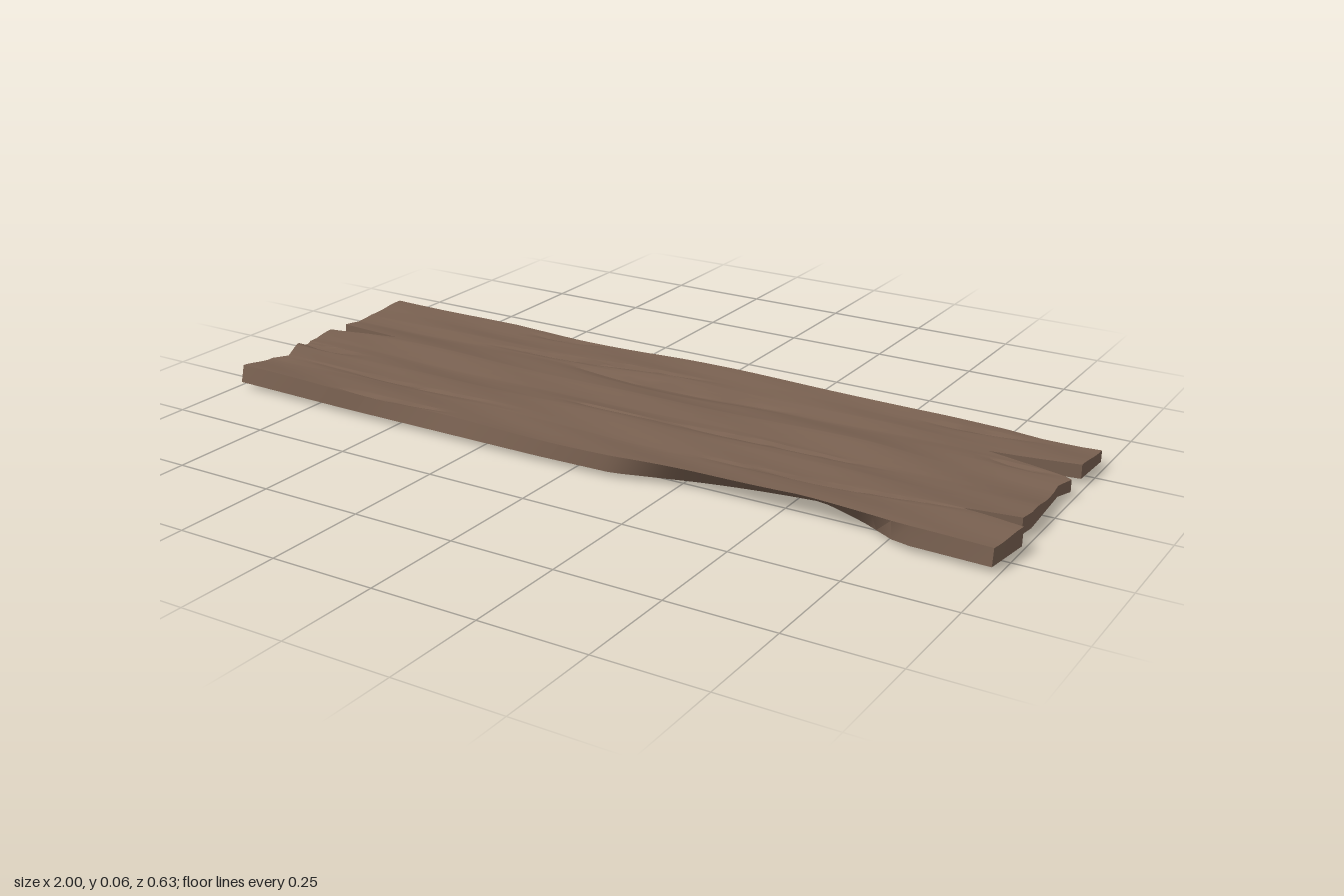
import * as THREE from 'three';
import { toCreasedNormals } from 'three/addons/utils/BufferGeometryUtils.js';

const { lerp, clamp } = THREE.MathUtils;

// Piecewise linear curve through [position, value] points
function curve(points, p) {
  if (p <= points[0][0]) return points[0][1];
  for (let k = 1; k < points.length; k++) {
    const [a, va] = points[k - 1], [b, vb] = points[k];
    if (p <= b) return lerp(va, vb, (p - a) / (b - a));
  }
  return points[points.length - 1][1];
}

// Split, broken ends: x by z
const leftEnd = [[-0.31, -0.99], [-0.1, -1], [-0.067, -0.8], [-0.03, -0.99], [0.06, -0.985],
  [0.08, -1], [0.17, -0.96], [0.2, -0.99], [0.31, -0.99]];
const rightEnd = [[-0.31, 0.99], [-0.2, 0.985], [-0.17, 0.78], [-0.13, 0.97], [-0.12, 0.99],
  [-0.08, 0.975], [0.1, 0.985], [0.14, 0.98], [0.165, 0.86], [0.19, 1], [0.31, 0.985]];

// Worn long edges: z by x
const backEdge = [[-1, -0.315], [-0.6, -0.32], [-0.4, -0.31], [-0.1, -0.315], [0.55, -0.303],
  [0.78, -0.318], [0.84, -0.31], [1, -0.317]];
const frontTop = [[-1, 0.295], [-0.65, 0.308], [-0.35, 0.3], [-0.1, 0.306], [0.1, 0.306],
  [0.3, 0.29], [0.55, 0.28], [0.78, 0.305], [1, 0.308]];
const frontBottom = [[-1, 0.306], [-0.65, 0.314], [-0.1, 0.314], [0.1, 0.308], [0.3, 0.25],
  [0.55, 0.18], [0.78, 0.308], [1, 0.314]];

// Surface relief: height by z along the middle, and by z at the right end
const middleRelief = [[-0.31, 0.054], [-0.25, 0.05], [-0.2, 0.051], [-0.15, 0.043], [-0.05, 0.055],
  [0.03, 0.045], [0.1, 0.052], [0.2, 0.046], [0.31, 0.053]];
const endRelief = [[-0.31, 0.042], [-0.19, 0.042], [-0.12, 0.041], [-0.05, 0.036], [0.05, 0.046],
  [0.15, 0.05], [0.31, 0.055]];

// Grain cracks: start x, z, end x, z, width, depth
const cracks = [
  [-0.6, -0.165, 0.08, -0.225, 0.014, 0.011], [-0.32, -0.148, 0.33, -0.166, 0.03, 0.014],
  [-1.05, 0.062, -0.8, 0.072, 0.02, 0.014], [0.05, 0.068, 0.65, 0.035, 0.016, 0.009],
  [-0.95, 0.165, -0.2, 0.18, 0.014, 0.007], [0.2, 0.19, 0.9, 0.165, 0.013, 0.009],
  [-0.7, 0.295, -0.35, 0.28, 0.012, 0.009], [0.57, -0.262, 0.87, -0.292, 0.016, 0.01],
  [-0.55, -0.285, -0.3, -0.308, 0.014, 0.009], [0.79, -0.13, 0.95, -0.128, 0.014, 0.01],
  [-0.2, 0.07, 0.1, 0.064, 0.01, 0.006],
];

function topHeight(x, z) {
  let y = lerp(curve(middleRelief, z), curve(endRelief, z), clamp((x - 0.55) / 0.4, 0, 1));
  y += 0.003 * Math.sin(x * 5 + z * 18) + 0.0015 * Math.sin(x * 11 - z * 45);
  for (const [x0, z0, x1, z1, width, depth] of cracks) {
    const t = (x - x0) / (x1 - x0);
    if (t <= 0 || t >= 1) continue;
    const fade = Math.sin(Math.PI * t);
    // One steep wall, one long slope
    const d = (z - lerp(z0, z1, t)) / (width * (0.5 + 0.5 * fade));
    if (d > -0.35 && d < 1.6) y -= depth * fade * (d < 0 ? 1 + d / 0.35 : 1 - d / 1.6);
  }
  return y;
}

function bottomHeight(x, z) {
  // Hollowed, sagging underside near the front edge
  const dip = Math.max(0, 1 - Math.abs(x - 0.55) / 0.35) * Math.max(0, 1 - Math.abs(z - 0.18) / 0.08);
  return 0.013 * (1 - dip);
}

function plankGeometry() {
  // Rows run along the grain and include every corner of the broken ends
  const rows = [...leftEnd, ...rightEnd].map((p) => p[0]);
  for (let k = 0; k <= 100; k++) {
    const v = -0.31 + 0.0062 * k;
    if (!rows.some((r) => Math.abs(r - v) < 0.0015)) rows.push(v);
  }
  const zs = [...new Set(rows)].sort((a, b) => a - b);
  const nz = zs.length, inner = 48, outer = 6, nx = inner + 2 * outer + 1;
  const positions = [], index = [];

  const gridX = (i, v) => {
    if (i < outer) return lerp(curve(leftEnd, v), -0.72, i / outer);
    if (i > outer + inner) return lerp(0.72, curve(rightEnd, v), (i - outer - inner) / outer);
    return -0.72 + (1.44 * (i - outer)) / inner;
  };
  const gridZ = (x, v, front) => {
    if (v > 0.1) return 0.1 + ((v - 0.1) * (curve(front, x) - 0.1)) / 0.21;
    if (v < -0.2) return -0.2 + ((v + 0.2) * (curve(backEdge, x) + 0.2)) / -0.11;
    return v;
  };
  for (const [front, height] of [[frontTop, topHeight], [frontBottom, bottomHeight]]) {
    for (const v of zs) {
      for (let i = 0; i < nx; i++) {
        const x = gridX(i, v), z = gridZ(x, v, front);
        positions.push(x, height(x, z), z);
      }
    }
  }

  // Upper and lower faces
  const count = nx * nz;
  for (let j = 0; j < nz - 1; j++) {
    for (let i = 0; i < nx - 1; i++) {
      const a = j * nx + i, b = a + 1, c = a + nx, d = c + 1;
      index.push(a, c, b, b, c, d);
      index.push(a + count, b + count, c + count, b + count, d + count, c + count);
    }
  }
  // Walls round the outline
  const rim = [];
  for (let i = 0; i < nx - 1; i++) rim.push((nz - 1) * nx + i);
  for (let j = nz - 1; j > 0; j--) rim.push(j * nx + nx - 1);
  for (let i = nx - 1; i > 0; i--) rim.push(i);
  for (let j = 0; j < nz - 1; j++) rim.push(j * nx);
  rim.forEach((t0, k) => {
    const t1 = rim[(k + 1) % rim.length];
    index.push(t0 + count, t1 + count, t1, t0 + count, t1, t0);
  });

  const geometry = new THREE.BufferGeometry();
  geometry.setAttribute('position', new THREE.Float32BufferAttribute(positions, 3));
  geometry.setIndex(index);
  return toCreasedNormals(geometry, 0.5);
}

export function createModel() {
  const group = new THREE.Group();
  group.name = 'weatheredPlank';
  const wood = new THREE.MeshStandardMaterial({ color: 0x786050 });
  wood.name = 'brown wood';
  const plank = new THREE.Mesh(plankGeometry(), wood);
  plank.name = 'plank';
  group.add(plank);
  return group;
}
